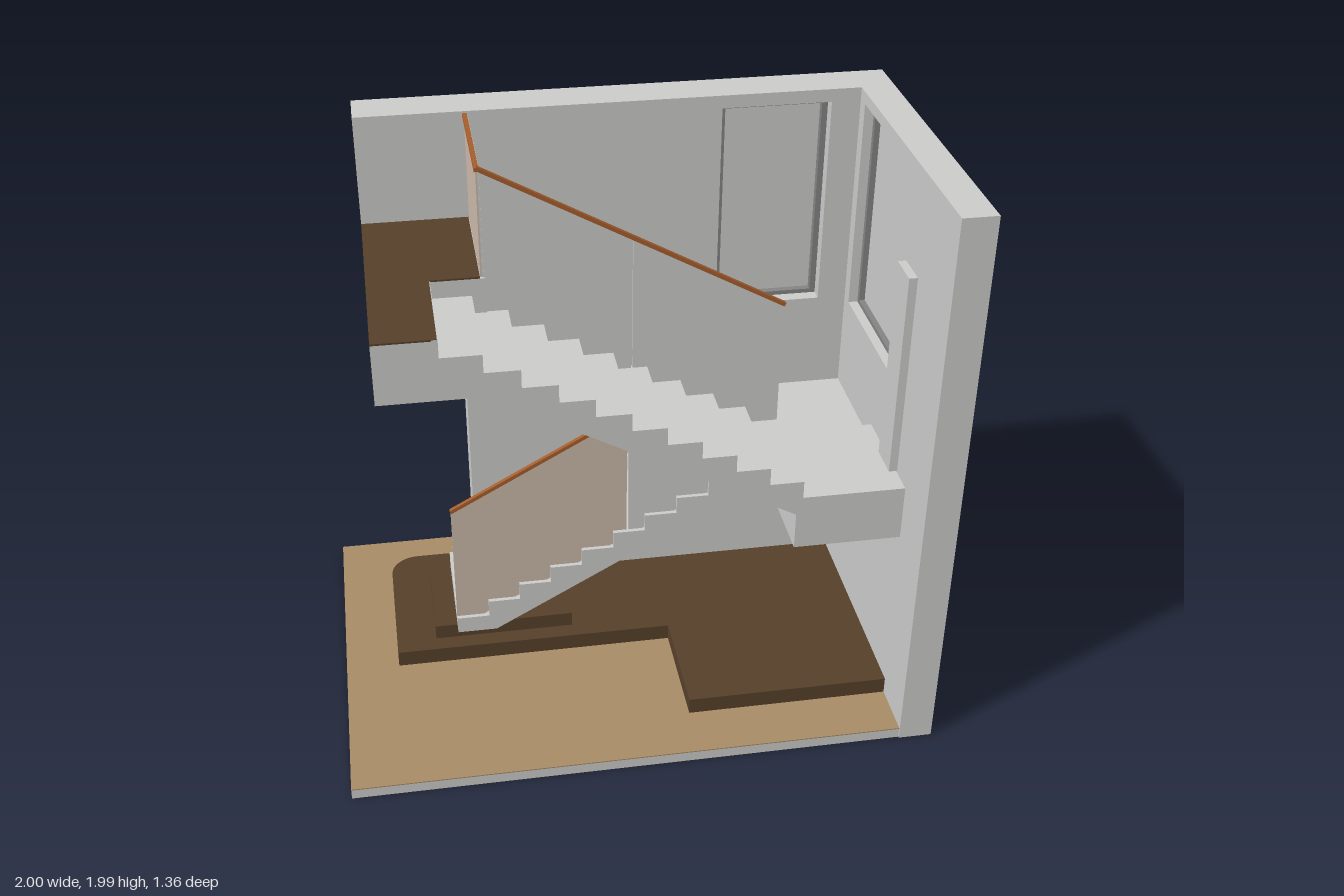
import * as THREE from 'three';

const mat = (name, color, side = THREE.FrontSide) => {
  const m = new THREE.MeshStandardMaterial({ color, side });
  m.name = name;
  return m;
};

export function createModel() {
  const model = new THREE.Group();
  model.name = 'staircase';
  const plaster = mat('plaster', 0xcccccb);
  const tan = mat('tanFloor', 0xa88c67);
  const darkWood = mat('darkWood', 0x57402a);
  const railWood = mat('railWood', 0xa65e2c);
  const frameGrey = mat('frameGrey', 0x858585);
  const tinted = mat('tintedGlass', 0xcbbaaa);

  const add = (name, geo, material, parent = model) => {
    const m = new THREE.Mesh(geo, material);
    m.name = name;
    parent.add(m);
    return m;
  };
  // box given by its limits on each axis
  const box = (name, x0, x1, y0, y1, z0, z1, material, parent) => {
    const g = new THREE.BoxGeometry(x1 - x0, y1 - y0, z1 - z0);
    g.translate((x0 + x1) / 2, (y0 + y1) / 2, (z0 + z1) / 2);
    return add(name, g, material, parent);
  };
  const poly = (pts) => new THREE.Shape(pts.map(([x, y]) => new THREE.Vector2(x, y)));
  const rect = (a0, a1, b0, b1) => [[a0, b0], [a1, b0], [a1, b1], [a0, b1]];
  const extrude = (shape, depth) => new THREE.ExtrudeGeometry(shape, { depth, bevelEnabled: false, curveSegments: 10 });
  // profile in the x-y plane, running from z0 to z1
  const alongZ = (name, pts, z0, z1, material, hole) => {
    const s = poly(pts);
    if (hole) s.holes.push(poly(hole));
    return add(name, extrude(s, z1 - z0).translate(0, 0, z0), material);
  };

  // floor slab with tan covering
  box('floorSlab', -1, 0.885, 0, 0.036, -0.68, 0.675, plaster);
  box('floorCovering', -1, 0.885, 0.036, 0.04, -0.68, 0.675, tan);

  // dark plinth with a rounded back corner and a wider right part
  const plinth = new THREE.Shape();
  plinth.moveTo(-0.812, -0.075);
  plinth.lineTo(0.18, -0.075);
  plinth.lineTo(0.18, -0.485);
  plinth.lineTo(0.885, -0.485);
  plinth.lineTo(0.885, 0.492);
  plinth.lineTo(-0.712, 0.492);
  plinth.absarc(-0.712, 0.392, 0.1, Math.PI / 2, Math.PI, false);
  plinth.closePath();
  add('plinth', extrude(plinth, 0.06).rotateX(-Math.PI / 2).translate(0, 0.04, 0), darkWood);
  box('plinthStep', -0.67, -0.17, 0.1, 0.155, -0.34, 0.015, darkWood);

  // walls with window openings
  alongZ('backWall', [[-0.49, 0.04], [0.885, 0.04], [0.885, 1.99], [-0.81, 1.99], [-0.81, 1.4], [-0.49, 1.4]],
    -0.49, -0.34, plaster, rect(0.41, 0.785, 1.2, 1.945));
  const side = poly(rect(-0.49, 0.68, 0, 1.99));
  side.holes.push(poly(rect(-0.29, 0.24, 1.2, 1.95)));
  add('rightWall', extrude(side, 0.115).rotateY(-Math.PI / 2).translate(1, 0, 0), plaster);

  // window: frame ring and pane, built facing +z
  const makeWindow = (name, w, h, depth) => {
    const g = new THREE.Group();
    g.name = name;
    const ring = poly(rect(-w / 2, w / 2, -h / 2, h / 2));
    ring.holes.push(poly(rect(-w / 2 + 0.02, w / 2 - 0.02, -h / 2 + 0.015, h / 2 - 0.02)));
    add('windowFrame', extrude(ring, depth).translate(0, 0, -depth / 2), frameGrey, g);
    box('windowPane', -w / 2 + 0.01, w / 2 - 0.01, -h / 2 + 0.01, h / 2 - 0.01, -0.005, 0.005, plaster, g);
    model.add(g);
    return g;
  };
  makeWindow('backWindow', 0.375, 0.745, 0.06).position.set(0.5975, 1.5725, -0.415);
  const sideWindow = makeWindow('sideWindow', 0.53, 0.75, 0.05);
  sideWindow.rotation.y = Math.PI / 2;
  sideWindow.position.set(0.943, 1.575, -0.025);

  // lower flight climbs to the right along the back wall
  const rise = 0.0633, run = 0.1133;
  const lower = [[-0.59, 0.155]];
  for (let i = 0; i < 10; i++) {
    const y = 0.155 + rise * (i + 1);
    const x0 = i ? -0.475 + run * (i - 1) : -0.59;
    lower.push([x0, y], [i === 9 ? 0.545 : -0.475 + run * i, y]);
  }
  lower.push([0.545, 0.717], [-0.45, 0.155]);
  alongZ('lowerFlight', lower, -0.34, 0.06, plaster);

  // half landing on two levels
  box('landingBack', 0.54, 0.885, 0.717, 0.852, -0.34, 0.08, plaster);
  box('landingFront', 0.52, 0.885, 0.717, 0.915, 0.08, 0.475, plaster);

  // upper flight returns to the left in front
  const upper = [[0.52, 0.85], [0.54, 0.91]];
  for (let i = 0; i < 11; i++) {
    const y = 0.915 + rise * (i + 1);
    const x0 = i < 10 ? 0.54 - run * i : -0.61;
    upper.push([x0, y], [i < 9 ? x0 - run : i === 9 ? -0.61 : -0.63, y]);
  }
  upper.push([-0.63, 1.4], [-0.48, 1.4]);
  alongZ('upperFlight', upper, 0.08, 0.475, plaster);

  // top landing wraps round the last steps
  box('topLanding', -0.81, -0.435, 1.4, 1.607, -0.34, 0.1, plaster);
  box('topLandingFront', -0.81, -0.61, 1.4, 1.607, 0.1, 0.475, plaster);
  box('topLandingFloor', -0.81, -0.452, 1.607, 1.613, -0.34, 0.1, darkWood);
  box('topLandingFloorFront', -0.81, -0.612, 1.607, 1.613, 0.1, 0.475, darkWood);

  // glass balustrades
  const lowTop = (x) => 0.678 + (x + 0.59) * 0.557;
  const lowFoot = (x) => 0.165 + (x + 0.59) * 0.55;
  const upTop = (x) => 1.43 + (0.54 - x) * 0.556;
  const upFoot = (x) => 0.918 + (0.54 - x) * 0.555;
  const panel = (name, x0, x1, foot, top, z0, z1, material) =>
    alongZ(name, [[x0, foot(x0)], [x1, foot(x1)], [x1, top(x1)], [x0, top(x0)]], z0, z1, material);
  panel('lowerGlassTinted', -0.59, 0.028, lowFoot, lowTop, 0.041, 0.045, tinted);
  panel('lowerGlassBack', -0.59, 0.028, lowFoot, lowTop, 0.036, 0.041, plaster);
  panel('lowerGlassSecond', 0.034, 0.54, lowFoot, lowTop, 0.036, 0.045, plaster);
  panel('upperGlassFirst', 0.038, 0.54, upFoot, upTop, 0.085, 0.094, plaster);
  panel('upperGlassSecond', -0.44, 0.032, upFoot, upTop, 0.085, 0.094, plaster);
  box('landingGlass', -0.445, -0.438, 1.48, 1.975, -0.34, 0.09, plaster);
  box('landingGlassTinted', -0.45, -0.445, 1.48, 1.975, -0.34, 0.09, tinted);

  // wooden handrails
  const rail = (name, a, b, z) => {
    const [dx, dy] = [b[0] - a[0], b[1] - a[1]];
    const g = new THREE.BoxGeometry(Math.hypot(dx, dy), 0.013, 0.015);
    g.rotateZ(Math.atan2(dy, dx)).translate((a[0] + b[0]) / 2, (a[1] + b[1]) / 2, z);
    add(name, g, railWood);
  };
  rail('lowerHandrail', [-0.59, lowTop(-0.59)], [0.54, lowTop(0.54)], 0.04);
  rail('upperHandrail', [-0.45, upTop(-0.45)], [0.545, upTop(0.545)], 0.092);
  box('landingHandrail', -0.455, -0.44, 1.97, 1.983, -0.34, 0.1, railWood);

  // upright panel on the right wall
  box('wallPanel', 0.85, 0.878, 0.935, 1.655, 0.28, 0.4, plaster);

  return model;
}
